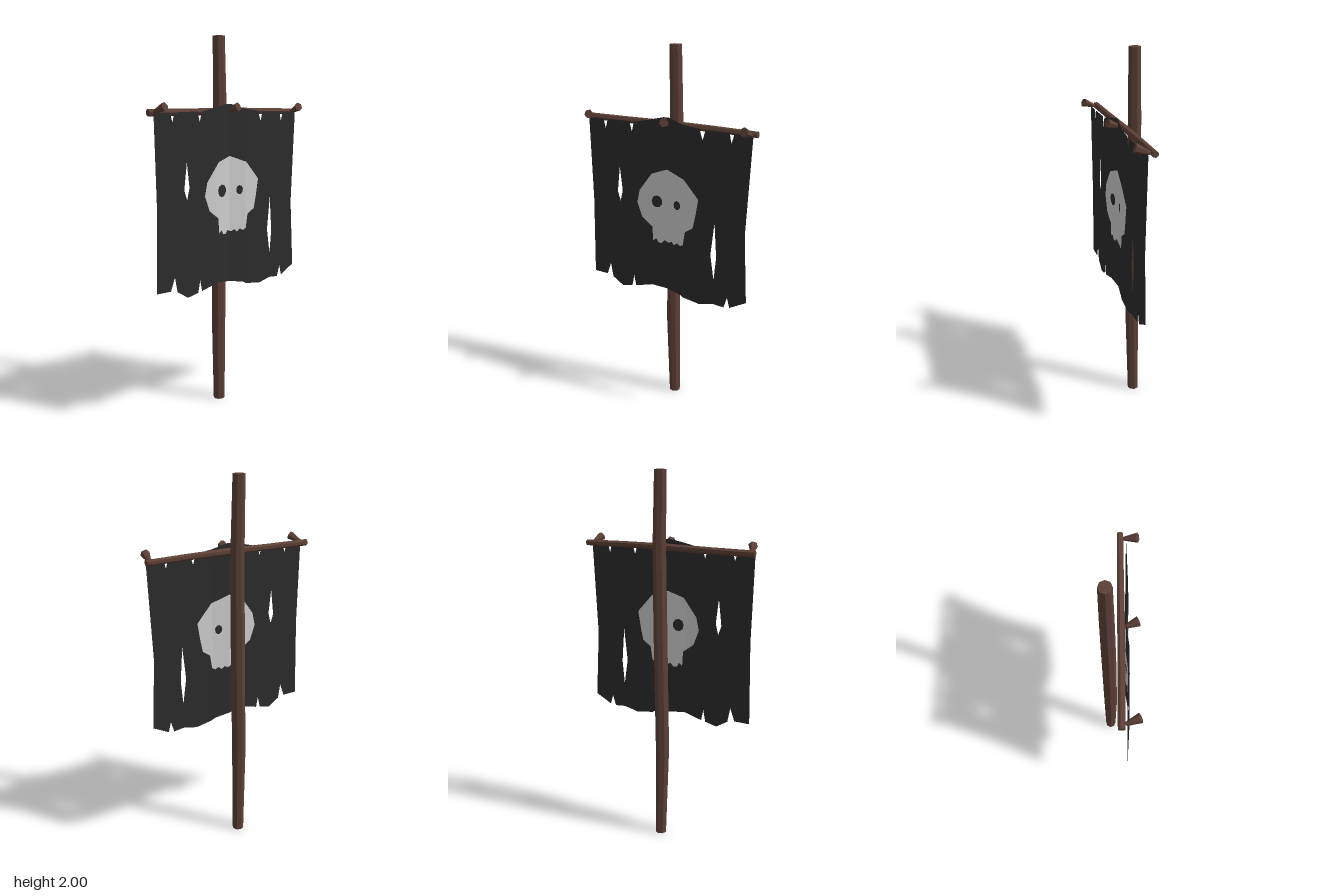
import * as THREE from 'three';

const wood = new THREE.MeshStandardMaterial({ color: 0x5d4037, flatShading: true });
wood.name = 'brown wood';
const cloth = new THREE.MeshStandardMaterial({ color: 0x2c2c2c, side: THREE.DoubleSide, flatShading: true });
cloth.name = 'black cloth';
const paint = new THREE.MeshStandardMaterial({ color: 0xd0d0d0, side: THREE.DoubleSide, flatShading: true });
paint.name = 'pale grey paint';

// Vertical folds of the cloth: [x, z]
const FOLDS = [[-0.48, 0.035], [-0.23, 0.041], [-0.1, 0.041], [0, 0.027], [0.1, 0.041], [0.23, 0.041], [0.48, 0.035]];

// Keeps the part of an outline on one side of a vertical line
function clip(points, x, sign) {
  const out = [];
  points.forEach((p, i) => {
    const q = points[(i + 1) % points.length];
    const dp = (p[0] - x) * sign, dq = (q[0] - x) * sign;
    if (dp >= 0) out.push(p);
    if (dp * dq < 0) out.push([x, p[1] + (q[1] - p[1]) * dp / (dp - dq)]);
  });
  return out;
}

const vectors = (points) => points.map(([x, y]) => new THREE.Vector2(x, y));

// Cuts an outline with holes at the folds and bends each strip to its fold
function foldedSheet(name, outline, holes, material, offset) {
  const group = new THREE.Group();
  group.name = name;
  for (let i = 0; i < FOLDS.length - 1; i++) {
    const [x0, z0] = FOLDS[i], [x1, z1] = FOLDS[i + 1];
    const strip = clip(clip(outline, x0, 1), x1, -1);
    if (strip.length < 3) continue;
    const shape = new THREE.Shape(vectors(strip));
    for (const hole of holes) {
      if (hole[0][0] > x0 && hole[0][0] < x1) shape.holes.push(new THREE.Path(vectors(hole)));
    }
    const geometry = new THREE.ShapeGeometry(shape);
    const pos = geometry.attributes.position;
    for (let v = 0; v < pos.count; v++) {
      pos.setZ(v, z0 + (z1 - z0) * (pos.getX(v) - x0) / (x1 - x0) + offset);
    }
    geometry.computeVertexNormals();
    const mesh = new THREE.Mesh(geometry, material);
    mesh.name = name + 'Strip';
    group.add(mesh);
  }
  return group;
}

// Upright uneven rod; rings run from top to bottom as [y, x, z, radius]
function roughRod(name, rings, sides) {
  const geometry = new THREE.CylinderGeometry(1, 1, 1, sides, rings.length - 1);
  const pos = geometry.attributes.position;
  for (let i = 0; i < pos.count; i++) {
    const [y, x, z, r] = rings[Math.round((0.5 - pos.getY(i)) * (rings.length - 1))];
    pos.setXYZ(i, x + pos.getX(i) * r, y, z + pos.getZ(i) * r);
  }
  geometry.computeVertexNormals();
  const mesh = new THREE.Mesh(geometry, wood);
  mesh.name = name;
  return mesh;
}

// Tapered peg, thin at the bar and wide at its head
function peg(name, from, to) {
  const a = new THREE.Vector3(...from), b = new THREE.Vector3(...to);
  const direction = b.clone().sub(a);
  const mesh = new THREE.Mesh(new THREE.CylinderGeometry(0.024, 0.009, direction.length(), 6), wood);
  mesh.position.copy(a).add(b).multiplyScalar(0.5);
  mesh.quaternion.setFromUnitVectors(new THREE.Vector3(0, 1, 0), direction.normalize());
  mesh.name = name;
  return mesh;
}

function ellipse(cx, cy, rx, ry) {
  return Array.from({ length: 9 }, (_, i) => {
    const t = i / 9 * Math.PI * 2 + 0.3;
    return [cx + Math.cos(t) * rx, cy + Math.sin(t) * ry];
  });
}

export function createModel() {
  const model = new THREE.Group();
  model.name = 'tatteredFlag';

  // Crooked pole
  model.add(roughRod('pole', [
    [2, 0, -0.06, 0.032], [1.62, 0.007, -0.059, 0.036], [1.2, 0.003, -0.057, 0.038],
    [0.5, -0.008, -0.056, 0.038], [0, 0, -0.062, 0.031],
  ], 8));

  // Crossbar, laid along x
  const bar = roughRod('crossbar', [
    [0.485, 0, 0.006, 0.016], [0.25, -0.003, 0.005, 0.017], [0, -0.002, 0.005, 0.019],
    [-0.25, 0.001, 0.003, 0.018], [-0.485, 0.003, 0.001, 0.018],
  ], 7);
  bar.rotation.z = -Math.PI / 2;
  bar.position.y = 1.61;
  model.add(bar);

  // Pegs pinning the cloth to the bar
  model.add(peg('rightPeg', [-0.462, 1.61, 0.02], [-0.442, 1.636, 0.085]));
  model.add(peg('middlePeg', [-0.005, 1.612, 0.02], [0.012, 1.636, 0.085]));
  model.add(peg('leftPeg', [0.457, 1.61, 0.022], [0.446, 1.636, 0.09]));

  // Torn cloth with notched top and ragged hem
  const outline = [
    [-0.475, 1.605], [-0.465, 1.15], [-0.475, 0.71], [-0.39, 0.71], [-0.365, 0.78], [-0.35, 0.7],
    [-0.285, 0.66], [-0.22, 0.675], [-0.207, 0.74], [-0.195, 0.68], [-0.09, 0.71], [0, 0.7],
    [0.09, 0.685], [0.105, 0.675], [0.205, 0.66], [0.285, 0.68], [0.347, 0.675], [0.365, 0.735],
    [0.38, 0.68], [0.472, 0.73], [0.45, 1.1], [0.472, 1.605],
    [0.375, 1.608], [0.362, 1.56], [0.35, 1.61], [0.222, 1.61], [0.207, 1.56], [0.19, 1.615],
    [0.1, 1.625], [0.01, 1.65], [-0.02, 1.65], [-0.16, 1.618],
    [-0.19, 1.612], [-0.203, 1.56], [-0.218, 1.612], [-0.355, 1.608], [-0.368, 1.56], [-0.382, 1.608],
  ];
  const tears = [
    [[-0.285, 1.36], [-0.27, 1.23], [-0.285, 1.17], [-0.302, 1.22]],
    [[0.283, 1.14], [0.297, 0.95], [0.285, 0.82], [0.264, 0.96]],
  ];
  model.add(foldedSheet('cloth', outline, tears, cloth, 0));

  // Skull painted on both sides, with the cloth showing through the eyes
  const skull = [
    [0, 1.38], [-0.085, 1.35], [-0.16, 1.25], [-0.175, 1.18], [-0.145, 1.1], [-0.085, 1.055],
    [-0.08, 0.975], [-0.062, 0.99], [-0.05, 0.967], [-0.03, 0.967], [-0.015, 0.985], [0.01, 0.975],
    [0.03, 0.985], [0.045, 0.97], [0.065, 0.985], [0.085, 0.975], [0.103, 0.985], [0.115, 1.06],
    [0.16, 1.09], [0.175, 1.16], [0.19, 1.25], [0.105, 1.345],
  ];
  const eyes = [ellipse(-0.057, 1.2, 0.03, 0.034), ellipse(0.063, 1.197, 0.021, 0.025)];
  model.add(foldedSheet('frontSkull', skull, eyes, paint, 0.003));
  model.add(foldedSheet('backSkull', skull, eyes, paint, -0.003));

  return model;
}
